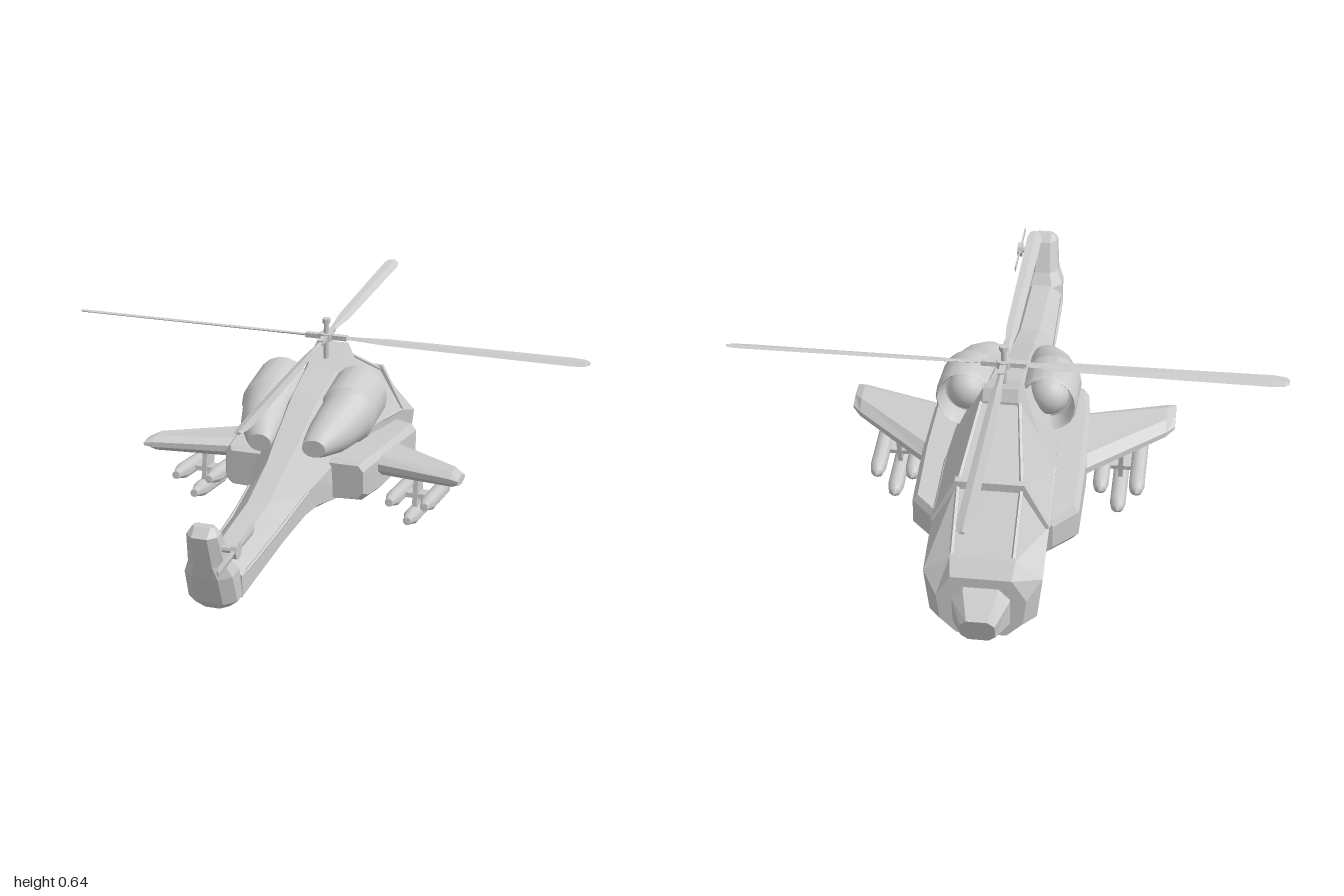
import * as THREE from 'three';
import { toCreasedNormals } from 'three/addons/utils/BufferGeometryUtils.js';

const mat = new THREE.MeshStandardMaterial({ color: 0xcccccc });
const flat = new THREE.MeshStandardMaterial({ color: 0xcccccc, flatShading: true });

function add(parent, name, geometry, x = 0, y = 0, z = 0, material = flat) {
  const mesh = new THREE.Mesh(geometry, material);
  mesh.name = name;
  mesh.position.set(x, y, z);
  parent.add(mesh);
  return mesh;
}

// Skin over closed rings of [x, y, z] points, capped at both ends and wound outward
function loft(rings, crease = 0.4) {
  const n = rings[0].length, tris = [];
  rings.slice(1).forEach((b, i) => {
    const a = rings[i];
    for (let j = 0; j < n; j++) {
      const k = (j + 1) % n;
      tris.push([a[j], a[k], b[k]], [a[j], b[k], b[j]]);
    }
  });
  const cap = (r, flip) => {
    const c = [0, 1, 2].map(k => r.reduce((s, p) => s + p[k], 0) / n);
    r.forEach((p, j) => {
      const q = r[(j + 1) % n];
      tris.push(flip ? [c, q, p] : [c, p, q]);
    });
  };
  cap(rings[0], true);
  cap(rings[rings.length - 1], false);
  const v = p => new THREE.Vector3(...p);
  const volume = tris.reduce((s, t) => s + v(t[0]).dot(v(t[1]).cross(v(t[2]))), 0);
  if (volume < 0) tris.forEach(t => t.reverse());
  const g = new THREE.BufferGeometry();
  g.setAttribute('position', new THREE.Float32BufferAttribute(tris.flat(2), 3));
  return toCreasedNormals(g, crease);
}

// Chamfered rectangle as 2D points
const octagon = (cx, cy, hx, hy, c) => [
  [hx, hy - c], [hx - c, hy], [c - hx, hy], [-hx, hy - c],
  [-hx, c - hy], [c - hx, -hy], [hx - c, -hy], [hx, c - hy],
].map(([x, y]) => [cx + x, cy + y]);

// Left half profile (bottom to top) mirrored into a ring at z
const section = (z, half) => [
  ...half.map(([x, y]) => [x, y, z]),
  ...half.slice().reverse().map(([x, y]) => [-x, y, z]),
];

const bar = (points, r) => new THREE.TubeGeometry(
  points.length > 2 ? new THREE.CatmullRomCurve3(points.map(p => new THREE.Vector3(...p)))
    : new THREE.LineCurve3(...points.map(p => new THREE.Vector3(...p))), 4, r, 5);

function bladeGeometry(length, width, thick) {
  return loft([[0.02, 0.4], [0.12, 0.45], [0.24, 0.8], [0.94, 1], [0.985, 0.8], [1, 0.4]].map(
    ([t, w]) => [[0, thick], [1, 0], [0, -thick], [-1, 0]].map(
      ([c, h]) => [t * length, h, c * width * w])));
}

function buildBody(g) {
  // Hull and tail boom: belly, lower chine, shoulder, roof
  add(g, 'fuselage', loft([
    section(-0.70, [[0.07, 0.015], [0.115, 0.06], [0.125, 0.14], [0.085, 0.205]]),
    section(-0.66, [[0.08, 0.0], [0.15, 0.06], [0.165, 0.19], [0.09, 0.245]]),
    section(-0.50, [[0.08, 0.04], [0.15, 0.10], [0.165, 0.25], [0.09, 0.38]]),
    section(-0.28, [[0.08, 0.085], [0.15, 0.14], [0.16, 0.30], [0.055, 0.505]]),
    section(-0.15, [[0.08, 0.11], [0.15, 0.16], [0.15, 0.32], [0.045, 0.50]]),
    section(0.02, [[0.07, 0.14], [0.14, 0.18], [0.13, 0.32], [0.04, 0.465]]),
    section(0.20, [[0.045, 0.175], [0.10, 0.215], [0.10, 0.29], [0.035, 0.395]]),
    section(0.28, [[0.04, 0.183], [0.085, 0.215], [0.085, 0.28], [0.03, 0.365]]),
    section(0.45, [[0.04, 0.183], [0.075, 0.21], [0.075, 0.265], [0.03, 0.315]]),
    section(0.78, [[0.035, 0.18], [0.068, 0.2], [0.068, 0.26], [0.03, 0.295]]),
  ], 0.2));

  // Raised housing under the rotor
  add(g, 'rotorHousing', loft([
    section(-0.285, [[0.13, 0.34], [0.05, 0.51]]),
    section(-0.27, [[0.13, 0.35], [0.05, 0.545]]),
    section(-0.15, [[0.10, 0.37], [0.045, 0.50]]),
    section(-0.05, [[0.08, 0.38], [0.03, 0.47]]),
  ], 0.2));

  // Swept tail fin, each ring: height, front z, rear z, half width
  add(g, 'tailFin', loft([
    [0.18, 0.75, 0.825, 0.04], [0.205, 0.75, 0.848, 0.068], [0.29, 0.765, 0.878, 0.066],
    [0.33, 0.795, 0.888, 0.05], [0.42, 0.838, 0.912, 0.042], [0.44, 0.86, 0.885, 0.03],
  ].map(([y, a, b, w]) => octagon(0, (a + b) / 2, w, (b - a) / 2, Math.min(0.03, (b - a) / 3, w / 2))
    .map(([x, z]) => [x, y, z])), 0.2));

  // Blunt nose turret
  add(g, 'noseTurret', loft([
    [-0.68, 0.105, 0.085, 0.075, 0], [-0.71, 0.1, 0.078, 0.07, 0.1], [-0.77, 0.082, 0.048, 0.043, 0.35],
  ].map(([z, cy, hx, hy, slant]) => octagon(0, cy, hx, hy, hx * 0.4)
    .map(([x, y]) => [x, y, z - (y - cy) * slant])), 0.2));

  // Canopy arch and frames
  const arch = grow => [[0.15, 0.25], [0.155 + grow, 0.255], [0.09 + grow / 2, 0.38 + grow]];
  add(g, 'canopyArch', loft([section(-0.515, arch(0.012)), section(-0.495, arch(0.014))], 0.2));
  for (const s of [-1, 1]) {
    add(g, 'canopyRail', bar([[s * 0.088, 0.38, -0.5], [s * 0.055, 0.503, -0.28]], 0.007));
    add(g, 'windshieldRail', bar([[s * 0.085, 0.25, -0.655], [s * 0.088, 0.38, -0.5]], 0.007));
    add(g, 'canopySill', bar([[s * 0.16, 0.25, -0.5], [s * 0.156, 0.3, -0.28]], 0.007));
    add(g, 'boomStrip', bar([[s * 0.07, 0.262, 0.75], [s * 0.077, 0.265, 0.45], [s * 0.087, 0.28, 0.27]], 0.005));
  }
}

function buildSide(g, s) {
  // Side sponson, each ring: z, outer x, bottom, top
  add(g, 'sponson', loft([
    [-0.455, 0.17, 0.125, 0.235], [-0.395, 0.238, 0.135, 0.25], [-0.2, 0.24, 0.165, 0.29],
    [-0.02, 0.235, 0.185, 0.315], [0.10, 0.22, 0.20, 0.325], [0.12, 0.21, 0.21, 0.315],
  ].map(([z, x, a, b]) => [[0.09, a - 0.005], [x - 0.02, a], [x, a + 0.02], [x, b - 0.02], [x - 0.015, b], [0.09, b]]
    .map(([px, py]) => [s * px, py, z])), 0.2));

  // Engine nacelle, each ring: z, centre x, centre y, radii
  add(g, 'engine', loft([
    [-0.10, 0.12, 0.425, 0.066, 0.072], [-0.15, 0.12, 0.43, 0.073, 0.08], [-0.162, 0.12, 0.43, 0.08, 0.087],
    [-0.15, 0.12, 0.43, 0.086, 0.093], [-0.01, 0.12, 0.415, 0.086, 0.09], [0.0, 0.12, 0.413, 0.079, 0.083],
    [0.1, 0.105, 0.4, 0.066, 0.064], [0.17, 0.088, 0.39, 0.045, 0.04], [0.195, 0.082, 0.385, 0.035, 0.026],
  ].map(([z, cx, cy, rx, ry]) => Array.from({ length: 18 }, (_, i) => {
    const a = i / 18 * Math.PI * 2;
    return [s * (cx + rx * Math.cos(a)), cy + ry * Math.sin(a), z];
  })), 0.6), 0, 0, 0, mat);
  add(g, 'intakeDome', new THREE.SphereGeometry(0.058, 16, 10), s * 0.12, 0.428, -0.1, mat);

  // Swept stub wing, pitched down toward the leading edge
  const rise = z => 0.288 + (z - 0.09) * 0.17;
  add(g, 'wing', loft([
    [0.2, -0.235, 0.02, 0.034], [0.46, -0.03, 0.09, 0.026], [0.485, 0.0, 0.095, 0.014],
  ].map(([x, a, b, h]) => [[a, -0.3], [a, 0.3], [a + 0.035, 1], [b - 0.03, 0.9], [b, 0.3], [b, -0.3], [b - 0.03, -0.9], [a + 0.035, -1]]
    .map(([z, k]) => [s * x, rise(z) + k * h, z])), 0.3));

  // Three pods on a cross-shaped pylon, tilted nose down
  const rack = new THREE.Group();
  rack.name = 'weaponRack';
  rack.position.set(s * 0.333, 0.165, -0.045);
  rack.rotation.x = -0.16;
  g.add(rack);
  add(rack, 'pylon', new THREE.BoxGeometry(0.014, 0.12, 0.07), 0, 0.03, 0);
  add(rack, 'pylonCrossbar', new THREE.BoxGeometry(0.09, 0.014, 0.06), 0, 0.01, 0);
  const profile = [[0, -0.14], [0.012, -0.138], [0.016, -0.11], [0.024, -0.08], [0.024, 0.1], [0.018, 0.125], [0, 0.138]]
    .map(p => new THREE.Vector2(...p));
  for (const [x, y, z] of [[-0.053, 0.01, 0], [0.053, 0.01, 0], [0, -0.045, -0.02]]) {
    const pod = add(rack, 'pod', toCreasedNormals(new THREE.LatheGeometry(profile, 10), 0.7), x, y, z, mat);
    pod.rotation.x = -Math.PI / 2;
  }
}

function buildRotors(g) {
  // Main rotor
  const main = new THREE.Group();
  main.name = 'mainRotor';
  main.position.set(0, 0.585, -0.2);
  g.add(main);
  add(main, 'mast', new THREE.CylinderGeometry(0.008, 0.01, 0.15, 8), 0, -0.03, 0);
  add(main, 'mastCap', new THREE.CylinderGeometry(0.013, 0.013, 0.014, 8), 0, 0.05, 0);
  add(main, 'hub', new THREE.CylinderGeometry(0.022, 0.022, 0.022, 8));
  const blade = bladeGeometry(0.8, 0.023, 0.004);
  for (let i = 0; i < 4; i++) {
    const arm = new THREE.Group();
    arm.name = 'bladeArm';
    arm.rotation.y = i * Math.PI / 2;
    main.add(arm);
    add(arm, 'blade', blade).rotation.x = 0.25;
    add(arm, 'bladeGrip', new THREE.BoxGeometry(0.05, 0.014, 0.018), 0.04, 0, 0);
  }

  // Two-bladed tail rotor on the fin's left side
  const tail = new THREE.Group();
  tail.name = 'tailRotor';
  tail.position.set(0.082, 0.377, 0.862);
  g.add(tail);
  add(tail, 'tailShaft', new THREE.CylinderGeometry(0.01, 0.01, 0.06, 8), -0.025, 0, 0).rotation.z = Math.PI / 2;
  add(tail, 'tailHub', new THREE.CylinderGeometry(0.024, 0.024, 0.016, 8)).rotation.z = Math.PI / 2;
  const small = bladeGeometry(0.138, 0.016, 0.003).rotateX(Math.PI / 2);
  for (const s of [-1, 1]) add(tail, 'tailBlade', small).rotation.y = s * Math.PI / 2;
}

export function createModel() {
  const g = new THREE.Group();
  g.name = 'helicopter';
  buildBody(g);
  for (const s of [-1, 1]) buildSide(g, s);
  buildRotors(g);
  return g;
}
